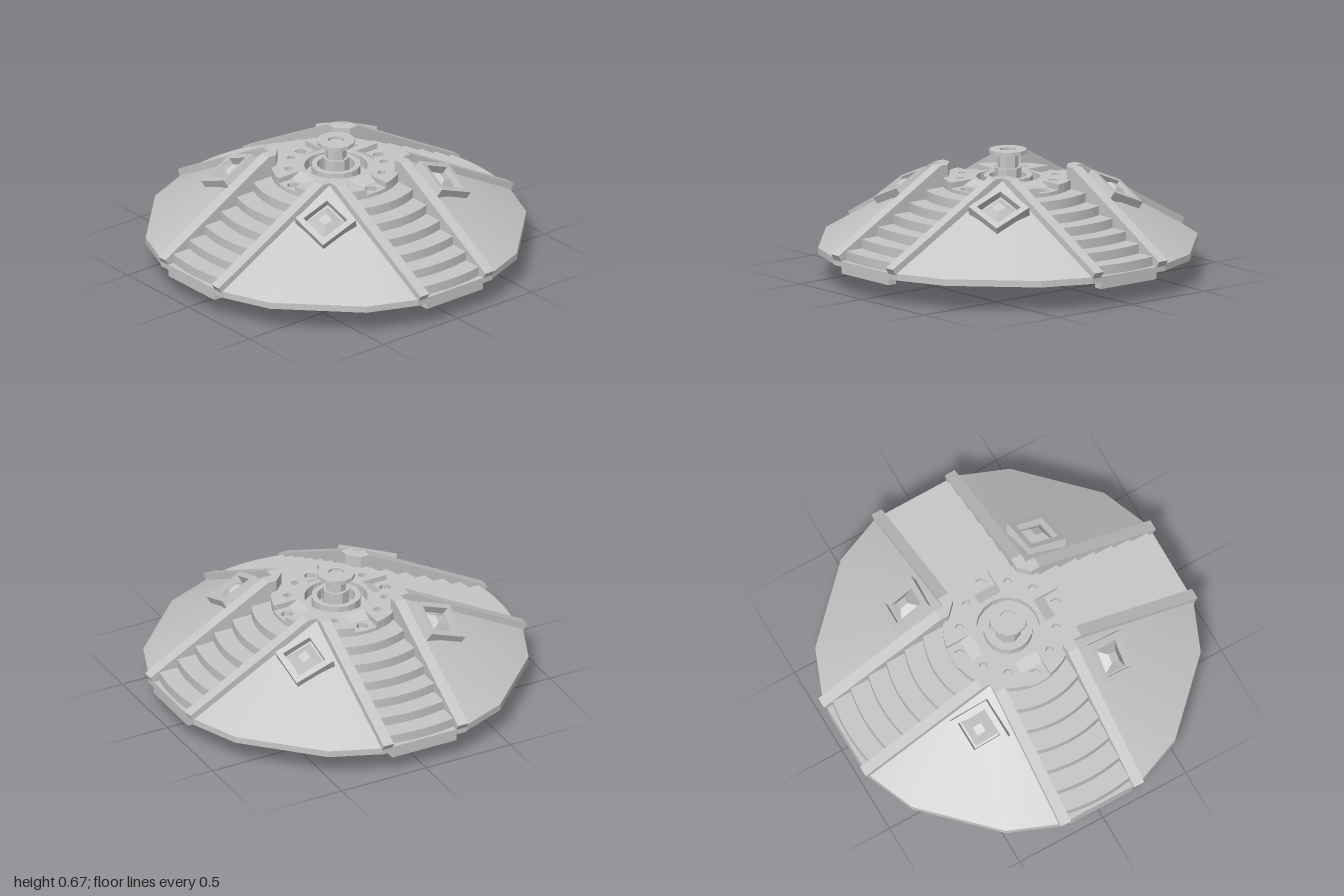
import * as THREE from 'three';

const grey = new THREE.MeshStandardMaterial({ color: 0xc6c6c6 });
grey.name = 'plain grey';

function add(parent, geometry, name, y = 0) {
  const mesh = new THREE.Mesh(geometry, grey);
  mesh.name = name;
  mesh.position.y = y;
  parent.add(mesh);
  return mesh;
}

const vec = (pts) => pts.map(([x, y]) => new THREE.Vector2(x, y));

// Regular polygon points, used for plates and holes
function ring(r, n, cx = 0, cy = 0, turn = 0) {
  return Array.from({ length: n }, (_, i) => {
    const a = turn + (i / n) * Math.PI * 2;
    return [cx + r * Math.cos(a), cy + r * Math.sin(a)];
  });
}

// Flat slab whose outline lies in x and z, reaching down from its top
function slab(pts, top, height, holes = []) {
  const shape = new THREE.Shape(vec(pts));
  for (const h of holes) shape.holes.push(new THREE.Path(vec(h)));
  const g = new THREE.ExtrudeGeometry(shape, { depth: height, bevelEnabled: false });
  return g.rotateX(Math.PI / 2).translate(0, top, 0);
}

// Curved tread between two radii, cut to the channel and its straight outer end
function tread(r0, r1, top) {
  const n = 8, w = 0.19, pts = [];
  const arc = (r, z) => Math.min(0.98, Math.sqrt(r * r - z * z));
  for (let i = 0; i <= n; i++) {
    const z = -w + (2 * w * i) / n;
    pts.push([arc(r1, z), z]);
  }
  for (let i = n; i >= 0; i--) {
    const z = -w + (2 * w * i) / n;
    pts.push([arc(r0, z), z]);
  }
  return slab(pts, top, 0.065);
}

function rail() {
  const profile = [[0.25, 0.14], [0.98, 0.14], [0.98, 0.168], [1, 0.2], [0.3, 0.585], [0.25, 0.585]];
  const g = new THREE.ExtrudeGeometry(new THREE.Shape(vec(profile)), { depth: 0.06, bevelEnabled: false });
  return g.translate(0, 0, 0.19);
}

// Raised diamond frame with a blunt pyramid inside
function windowPort() {
  const g = new THREE.Group();
  g.name = 'window';
  const shape = new THREE.Shape(vec(ring(0.16, 4)));
  shape.holes.push(new THREE.Path(vec(ring(0.115, 4))));
  const frame = new THREE.ExtrudeGeometry(shape, { depth: 0.07, bevelEnabled: false });
  add(g, frame.translate(0, 0, -0.03), 'windowFrame');
  const pyramid = new THREE.CylinderGeometry(0.035, 0.116, 0.05, 4, 1).toNonIndexed();
  pyramid.computeVertexNormals();
  add(g, pyramid.rotateX(Math.PI / 2).translate(0, 0, 0.015), 'windowPyramid');
  const tilt = 0.565, s = Math.sin(tilt) / Math.SQRT2;
  g.position.set(0.39, 0.445, 0.39);
  g.lookAt(0.39 + s, 0.445 + Math.cos(tilt), 0.39 + s);
  return g;
}

function quadrant() {
  const g = new THREE.Group();
  g.name = 'armourQuadrant';
  const rim = [[0.975, 0.25], [0.87, 0.51], [0.51, 0.87], [0.25, 0.975]];
  add(g, slab([[0.25, 0.19], ...rim, [0.19, 0.25]], 0.175, 0.035), 'quadrantBase');
  add(g, slab([[0.25, 0.19], [0.25, 0.25], [0.19, 0.25]], 0.585, 0.445), 'cornerPost');

  // Sloping shell fans out from the inner corner
  const pos = [0.25, 0.57, 0.25], index = [];
  rim.forEach(([x, z], i) => {
    pos.push(x, 0.175, z);
    if (i < rim.length - 1) index.push(0, i + 2, i + 1);
  });
  const shell = new THREE.BufferGeometry();
  shell.setAttribute('position', new THREE.Float32BufferAttribute(pos, 3));
  shell.setIndex(index);
  shell.computeVertexNormals();
  add(g, shell, 'slopingShell');

  // One rail along each straight edge
  add(g, rail(), 'rail');
  add(g, rail().rotateY(-Math.PI / 2).translate(0.44, 0, 0), 'rail');
  g.add(windowPort());
  return g;
}

function staircase() {
  const g = new THREE.Group();
  g.name = 'staircase';
  for (let i = 1; i <= 7; i++) {
    const r = 0.34 + 0.104 * i;
    add(g, tread(r - 0.12, r, 0.52 - 0.05 * i), 'tread');
  }
  // Ramp into the notch of the top plate
  const ramp = new THREE.Shape(vec([[0.18, 0.48], [0.25, 0.48], [0.25, 0.492], [0.19, 0.52], [0.18, 0.52]]));
  const rampGeo = new THREE.ExtrudeGeometry(ramp, { depth: 0.13, bevelEnabled: false });
  add(g, rampGeo.translate(0, 0, -0.065), 'notchRamp');
  return g;
}

// Round top plate with edge notches, bolt holes and a central well
function topPlate() {
  const g = new THREE.Group();
  g.name = 'topPlate';
  const R = 0.34, a0 = Math.asin(0.065 / R), outline = [], sockets = [], bolts = [];
  for (let k = 0; k < 4; k++) {
    const c = Math.round(Math.cos(k * Math.PI / 2)), s = Math.round(Math.sin(k * Math.PI / 2));
    const turn = ([x, y]) => [x * c - y * s, x * s + y * c];
    const side = [[R * Math.cos(a0), -0.065], [0.19, -0.065], [0.19, 0.065]];
    for (let i = 0; i <= 8; i++) {
      const a = a0 + (i / 8) * (Math.PI / 2 - 2 * a0);
      if (i < 8) side.push([R * Math.cos(a), R * Math.sin(a)]);
    }
    outline.push(...side.map(turn));
    for (const p of [[0.22, 0.125], [0.125, 0.22]]) bolts.push(ring(0.024, 6, ...turn(p)));
    sockets.push(ring(0.034, 6, ...turn([0.29, 0]), Math.PI / 6));
  }
  const well = ring(0.167, 20);
  add(g, slab(outline, 0.52, 0.03, [well, ...bolts]), 'notchedPlate');
  add(g, slab(ring(R, 36), 0.49, 0.025, [well, ...sockets]), 'socketPlate');
  add(g, slab(ring(R, 36), 0.465, 0.025), 'floorPlate');
  return g;
}

// Collar, nut, shaft and flanged cap on the centre line
function hub() {
  const g = new THREE.Group();
  g.name = 'hub';
  add(g, slab(ring(0.13, 16), 0.528, 0.07, [ring(0.1, 16)]), 'collar');
  add(g, slab(ring(0.07, 8), 0.57, 0.11), 'nut');
  add(g, slab(ring(0.055, 8), 0.65, 0.09), 'shaft');
  add(g, slab(ring(0.1, 12), 0.665, 0.02, [ring(0.045, 8)]), 'cap');
  return g;
}

export function createModel() {
  const model = new THREE.Group();
  model.name = 'domedVehicle';
  for (let k = 0; k < 4; k++) {
    for (const part of [quadrant(), staircase()]) {
      part.rotation.y = k * Math.PI / 2;
      model.add(part);
    }
  }
  model.add(topPlate(), hub());
  add(model, new THREE.BoxGeometry(0.35, 0.46, 0.35), 'coreBlock', 0.23);
  return model;
}
